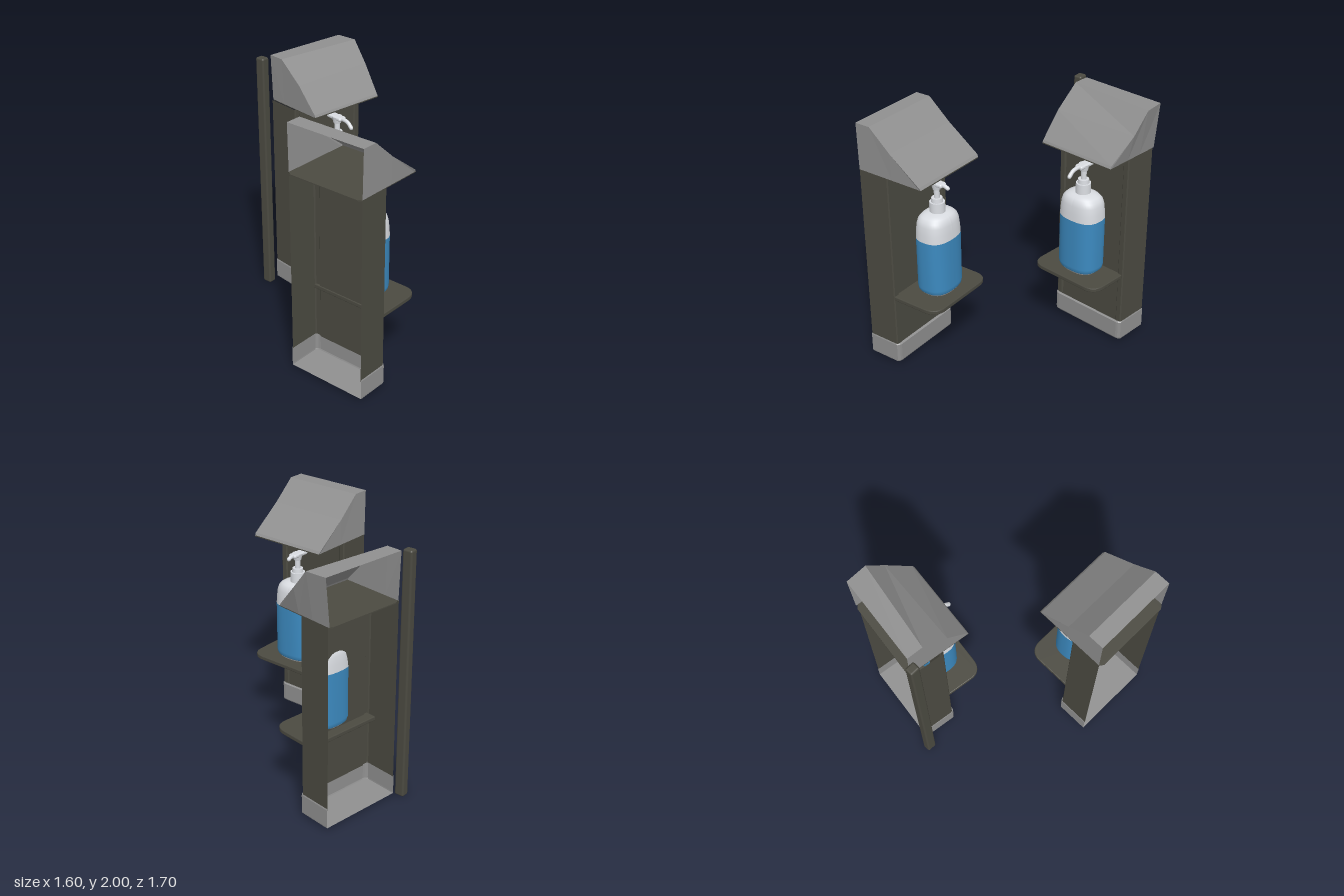
import * as THREE from 'three';
import { RoundedBoxGeometry } from 'three/addons/geometries/RoundedBoxGeometry.js';

const paint = (name, color, side = THREE.FrontSide) => {
  const m = new THREE.MeshStandardMaterial({ color, side });
  m.name = name;
  return m;
};

// Faceted sheet stretched between rows of [x, y, z] points
function sheet(rows) {
  const pos = [];
  for (let r = 0; r < rows.length - 1; r++) {
    for (let i = 0; i < rows[r].length - 1; i++) {
      const a = rows[r][i], b = rows[r][i + 1], c = rows[r + 1][i + 1], d = rows[r + 1][i];
      pos.push(...a, ...b, ...c, ...a, ...c, ...d);
    }
  }
  const g = new THREE.BufferGeometry();
  g.setAttribute('position', new THREE.Float32BufferAttribute(pos, 3));
  g.computeVertexNormals();
  return g;
}

// Lathe squeezed into a rounded-rectangular oval
function ovalLathe(profile) {
  const g = new THREE.LatheGeometry(profile.map(([r, y]) => new THREE.Vector2(r, y)), 48);
  const p = g.attributes.position, n = 2.6;
  for (let i = 0; i < p.count; i++) {
    const x = p.getX(i), z = p.getZ(i), r = Math.hypot(x, z);
    if (r < 1e-5) continue;
    const k = 1 / Math.pow(Math.abs(x / r) ** n + Math.abs(z / r) ** n, 1 / n);
    p.setXYZ(i, x * k, p.getY(i), z * k * 0.79);
  }
  g.computeVertexNormals();
  return g;
}

export function createModel() {
  const dark = paint('dark olive', 0x4b4a41);
  const darkSheet = paint('dark olive sheet', 0x4b4a41, THREE.DoubleSide);
  const grey = paint('mid grey', 0x909090, THREE.DoubleSide);
  const white = paint('soft white', 0xd9dce1);
  const blue = paint('liquid blue', 0x3c8ac0);
  const model = new THREE.Group();

  const add = (parent, name, geo, mat, x = 0, y = 0, z = 0) => {
    const m = new THREE.Mesh(geo, mat);
    m.name = name;
    m.position.set(x, y, z);
    parent.add(m);
    return m;
  };

  // Pump bottle, spout towards +z
  function bottle(reach, droop) {
    const g = new THREE.Group();
    g.name = 'pumpBottle';
    add(g, 'bottleFoot', ovalLathe([[0, 0.625], [0.145, 0.625], [0.16, 0.64]]), white);
    add(g, 'bottleLabel', ovalLathe([[0.16, 0.64], [0.169, 0.652], [0.175, 0.68], [0.175, 1.09]]), blue);
    add(g, 'bottleShoulder', ovalLathe([[0.175, 1.09], [0.171, 1.15], [0.164, 1.21], [0.152, 1.245],
      [0.13, 1.268], [0.1, 1.28], [0.06, 1.288], [0, 1.29]]), white);
    add(g, 'collar', new THREE.CylinderGeometry(0.058, 0.06, 0.08, 28), white, 0, 1.325);
    add(g, 'neckRing', new THREE.CylinderGeometry(0.042, 0.045, 0.035, 28), white, 0, 1.38);
    add(g, 'stem', new THREE.CylinderGeometry(0.022, 0.022, 0.1, 20), white, 0, 1.435);
    add(g, 'pumpHead', new THREE.CylinderGeometry(0.042, 0.03, 0.055, 24), white, 0, 1.495);
    add(g, 'pumpPad', new RoundedBoxGeometry(0.07, 0.032, 0.16, 3, 0.014), white, 0, 1.512, -0.01);
    const path = new THREE.CatmullRomCurve3([[0, 0], [0.6, 0], [0.8, -0.25], [1, -1]].map(
      ([t, d]) => new THREE.Vector3(0, 1.512 + d * droop, t * reach)));
    add(g, 'spout', new THREE.TubeGeometry(path, 16, 0.016, 12), white);
    const tip = add(g, 'spoutTip', new THREE.SphereGeometry(0.016, 12, 8), white);
    tip.position.copy(path.getPoint(1));
    return g;
  }

  // One dispenser station, facing +z, its open back at z = 0
  function station(o) {
    const g = new THREE.Group();
    g.name = 'dispenserStation';
    const { w, depth: d, shift: s } = o;
    const mirror = half => [...half, ...half.map(([x, z]) => [-x, z]).reverse()];
    const level = (plan, y) => plan.map(([x, z]) => [x, y, z]);

    // Open-backed housing with a slightly recessed front panel
    const plan = mirror([[w, 0], [w, d - 0.008], [w - 0.008, d], [w - 0.045, d], [w - 0.055, d - 0.01]]);
    add(g, 'housing', sheet([level(plan, 0.18), level(plan, 1.63)]), darkSheet);
    add(g, 'panelTopRim', new THREE.BoxGeometry(2 * w - 0.09, 0.04, 0.01), dark, 0, 1.61, d - 0.005);

    // Base tray
    const tray = (k) => mirror([[w + k * 0.3, 0], [w + k * 0.3, d - 0.02 + k], [w - 0.012, d - 0.004 + k], [w - 0.03, d + k]]);
    const t0 = tray(0.014), t1 = tray(0.018), t2 = tray(0.006);
    add(g, 'baseTray', sheet([t0.map(() => [0, 0.03, 0]), level(t0, 0.03), level(t1, 0.04),
      level(t1, 0.183), level(t2, 0.193)]), grey);

    // Hollow sloping hood over a dark floor plate
    for (const side of [o.hoodLeft, o.hoodRight]) {
      const foot = side[side.length - 1][0];
      add(g, 'hoodSide', sheet([side, side.map(p => [foot, 1.63, p[2]])]), grey);
    }
    add(g, 'hoodTop', sheet([o.hoodLeft, o.hoodRight]), grey);
    const L = o.hoodLeft.at(-1), R = o.hoodRight.at(-1);
    const floor = new THREE.Shape([[L[0], 0], [L[0] + 0.03, -0.022], [R[0] - 0.03, -0.022], [R[0], 0],
      [R[0], R[2]], [L[0], L[2]]].map(([x, z]) => new THREE.Vector2(x, -z)));
    const plate = new THREE.ExtrudeGeometry(floor, { depth: 0.008, bevelEnabled: false });
    add(g, 'hoodFloor', plate.rotateX(-Math.PI / 2), dark, 0, 1.624);

    // Shelf with rounded front corners
    const b = 0.25 + s, f = 0.65 + s, h = 0.315, r = 0.11;
    const shelf = new THREE.Shape();
    shelf.moveTo(-h, -b);
    shelf.lineTo(-h, -(f - r));
    shelf.quadraticCurveTo(-h, -f, -h + r, -f);
    shelf.lineTo(h - r, -f);
    shelf.quadraticCurveTo(h, -f, h, -(f - r));
    shelf.lineTo(h, -b);
    const board = new THREE.ExtrudeGeometry(shelf, {
      depth: 0.022, bevelThickness: 0.006, bevelSize: 0.006, bevelSegments: 2, curveSegments: 10 });
    add(g, 'shelf', board.rotateX(-Math.PI / 2), dark, 0, 0.597);

    // Tapered bracket below the shelf
    const wedge = new THREE.Shape([[-0.1, 0.07], [-0.085, 0.02], [-0.06, 0], [0.06, 0], [0.085, 0.02], [0.1, 0.07]]
      .map(([x, y]) => new THREE.Vector2(x, y)));
    add(g, 'shelfBracket', new THREE.ExtrudeGeometry(wedge, { depth: 0.09, bevelEnabled: false }), dark,
      0, 0.527, 0.335 + s);

    const pump = bottle(o.reach, o.droop);
    pump.position.z = 0.44 + s;
    g.add(pump);
    return g;
  }

  // Hood edge profiles run from the back top down to the lip
  const straight = x => [[x, 2, 0], [x, 2, 0.125], [x, 1.84, 0.305], [x, 1.65, 0.56], [x * 0.98, 1.63, 0.575]];
  const first = station({
    w: 0.325, depth: 0.26, shift: 0, reach: 0.105, droop: 0.012,
    hoodLeft: straight(-0.333), hoodRight: straight(0.333),
  });
  first.position.set(-0.775, 0, 0.521);
  first.rotation.y = Math.PI / 2;

  const second = station({
    w: 0.335, depth: 0.275, shift: -0.055, reach: 0.165, droop: 0.04,
    hoodLeft: [[-0.335, 2, -0.01], [-0.331, 2, 0.12], [-0.327, 1.84, 0.32], [-0.32, 1.65, 0.49], [-0.32, 1.63, 0.5]],
    hoodRight: [[0.371, 2, -0.015], [0.392, 2, 0.155], [0.382, 1.84, 0.292], [0.335, 1.65, 0.48], [0.335, 1.63, 0.492]],
  });
  second.position.set(0.43, 0, -0.733);
  second.rotation.y = -0.14;
  model.add(first, second);

  // Standing post behind the second station
  add(model, 'post', new RoundedBoxGeometry(0.068, 1.995, 0.08, 2, 0.015), dark, 0.028, 1.0, -0.81);
  return model;
}
